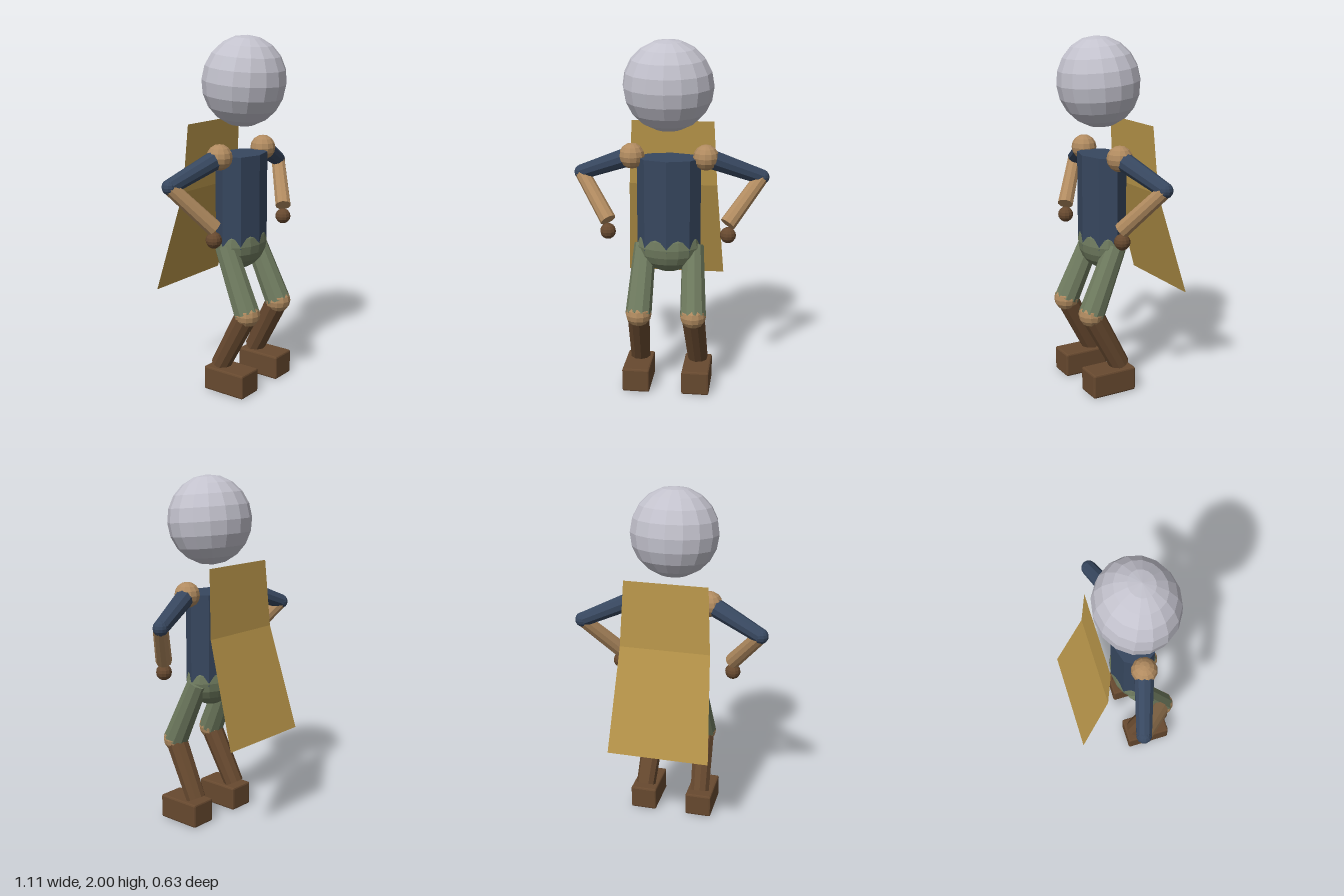
import * as THREE from 'three';
import { RoundedBoxGeometry } from 'three/addons/geometries/RoundedBoxGeometry.js';

const paint = (name, color, extra = {}) =>
  Object.assign(new THREE.MeshStandardMaterial({ color, flatShading: true, ...extra }), { name });

export function createModel() {
  const model = new THREE.Group();
  model.name = 'figure';

  const helmet = paint('pale grey', 0xc3c2cd);
  const navy = paint('navy cloth', 0x37475f);
  const skin = paint('tan skin', 0xb18b60);
  const green = paint('green cloth', 0x6f7b5f);
  const leather = paint('brown leather', 0x67492f);
  const gold = paint('gold cloth', 0xb9964a, { side: THREE.DoubleSide });

  const add = (name, geometry, material, parent = model) => {
    const mesh = new THREE.Mesh(geometry, material);
    mesh.name = name;
    parent.add(mesh);
    return mesh;
  };

  const ball = (name, [x, y, z], r, material, parent, w = 12, h = 8) => {
    const mesh = add(name, new THREE.SphereGeometry(r, w, h), material, parent);
    mesh.position.set(x, y, z);
    return mesh;
  };

  // Tapered cylinder running from point a to point b
  const limb = (name, a, b, ra, rb, material, parent) => {
    const start = new THREE.Vector3(...a);
    const end = new THREE.Vector3(...b);
    const along = end.clone().sub(start);
    const mesh = add(name, new THREE.CylinderGeometry(rb, ra, along.length(), 10), material, parent);
    mesh.position.copy(start).add(end).multiplyScalar(0.5);
    mesh.quaternion.setFromUnitVectors(new THREE.Vector3(0, 1, 0), along.normalize());
    return mesh;
  };

  // Head, nodding slightly forward
  const head = ball('head', [0, 1.75, 0.087], 0.25, helmet, model, 16, 10);
  head.scale.z = 0.91;
  head.rotation.x = 0.09;

  // Torso and hips
  const torso = add('torso', new THREE.CylinderGeometry(1, 1, 0.52, 8), navy);
  torso.scale.set(0.18, 1, 0.123);
  torso.position.set(0, 1.09, 0.07);
  const hips = ball('hips', [0, 0.84, 0.07], 1, green, model, 16, 10);
  hips.scale.set(0.18, 0.152, 0.124);

  // Cape: two panels meeting at a crease, [half width, y, z] per row
  const rows = [[0.237, 1.52, -0.122], [0.257, 1.14, -0.147], [0.291, 0.55, -0.32]];
  const cape = new THREE.PlaneGeometry(2, 1, 1, 2);
  const points = cape.attributes.position;
  for (let i = 0; i < points.count; i++) {
    const [w, y, z] = rows[Math.floor(i / 2)];
    points.setXYZ(i, points.getX(i) * w, y, z);
  }
  cape.computeVertexNormals();
  add('cape', cape, gold);

  // Arms and legs on both sides
  for (const [side, s] of [['left', 1], ['right', -1]]) {
    const at = (x, y, z) => [s * x, y, z];

    const arm = new THREE.Group();
    arm.name = `${side}Arm`;
    const shoulder = at(0.207, 1.355, 0.071);
    const elbow = at(0.514, 1.23, -0.025);
    ball('shoulder', shoulder, 0.072, skin, arm);
    limb('upperArm', shoulder, elbow, 0.055, 0.043, navy, arm);
    ball('elbow', elbow, 0.043, navy, arm);
    limb('forearm', elbow, at(0.336, 0.995, 0.132), 0.041, 0.046, skin, arm);
    ball('hand', at(0.338, 0.93, 0.13), 0.045, leather, arm);

    const leg = new THREE.Group();
    leg.name = `${side}Leg`;
    const knee = at(0.155, 0.475, 0.221);
    limb('thigh', at(0.137, 0.84, 0.058), knee, 0.062, 0.074, green, leg);
    ball('knee', knee, 0.074, skin, leg);
    limb('shin', knee, at(0.17, 0.145, 0.05), 0.065, 0.058, leather, leg);
    const foot = add('foot', new RoundedBoxGeometry(0.157, 0.14, 0.268, 1, 0.01), leather, leg);
    foot.position.set(s * 0.171, 0.07, 0.122);

    model.add(arm, leg);
  }
  return model;
}
